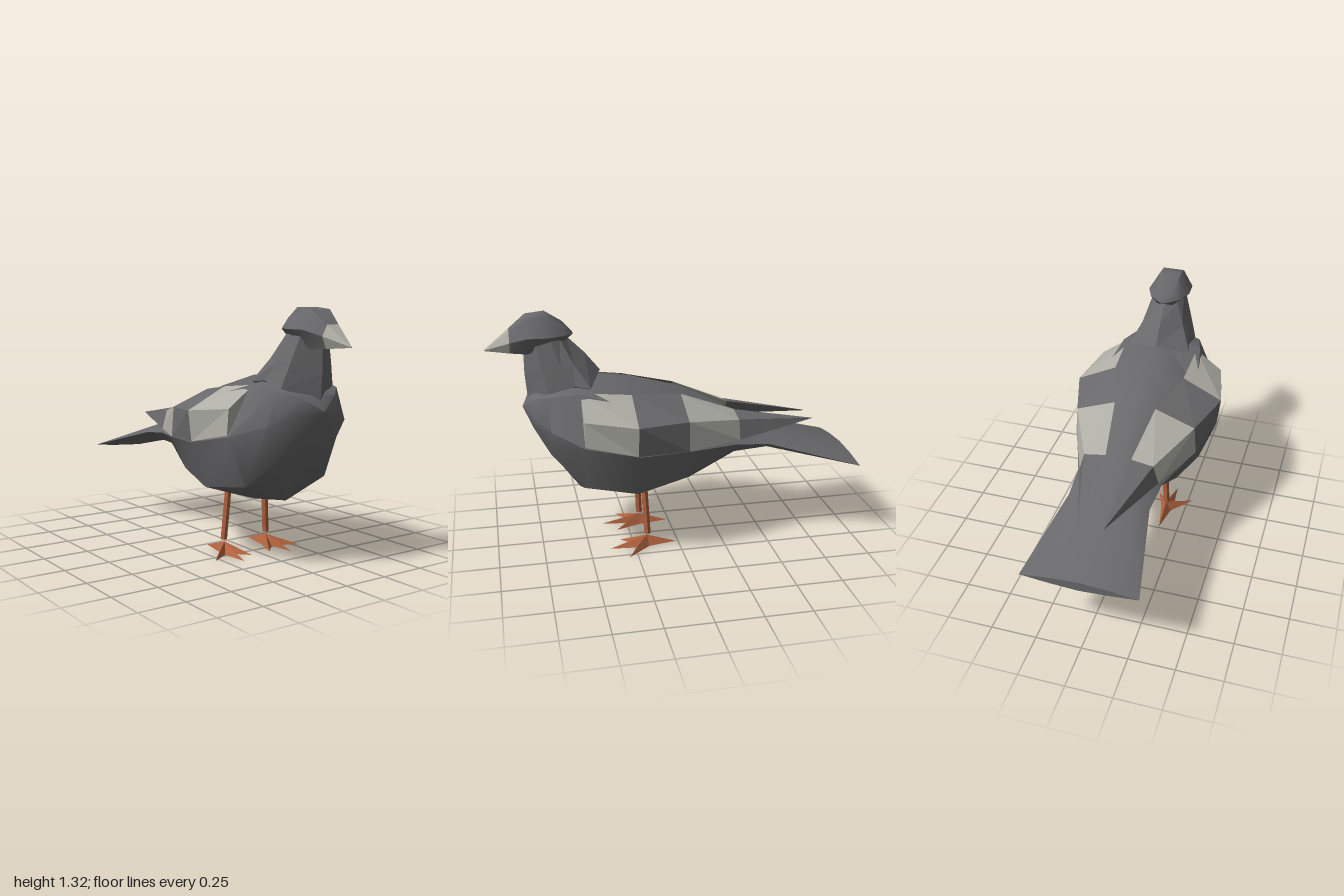
import * as THREE from 'three';
import { toCreasedNormals } from 'three/addons/utils/BufferGeometryUtils.js';

const mat = (name, color) => {
  const m = new THREE.MeshStandardMaterial({ color });
  m.name = name;
  return m;
};

// Triangle list to mesh; faces are turned outward using the signed volume.
function meshFrom(name, tris, material, crease) {
  const a = new THREE.Vector3(), b = new THREE.Vector3(), c = new THREE.Vector3();
  let volume = 0;
  const solid = tris.filter(([p, q, r]) => {
    a.fromArray(p); b.fromArray(q); c.fromArray(r);
    volume += a.dot(b.clone().cross(c));
    return b.clone().sub(a).cross(c.clone().sub(a)).length() > 1e-7;
  });
  const flat = solid.flatMap(([p, q, r]) => (volume < 0 ? [...p, ...r, ...q] : [...p, ...q, ...r]));
  let geo = new THREE.BufferGeometry();
  geo.setAttribute('position', new THREE.Float32BufferAttribute(flat, 3));
  geo.computeVertexNormals();
  if (crease) geo = toCreasedNormals(geo, crease);
  const mesh = new THREE.Mesh(geo, material);
  mesh.name = name;
  return mesh;
}

// Closed skin through rings with equal point counts, capped at both ends.
function loft(name, rings, material, crease = 0) {
  const tris = [], n = rings[0].length;
  for (let i = 0; i + 1 < rings.length; i++) {
    for (let j = 0; j < n; j++) {
      const k = (j + 1) % n, p = rings[i], q = rings[i + 1];
      tris.push([p[j], p[k], q[k]], [p[j], q[k], q[j]]);
    }
  }
  const first = rings[0], last = rings[rings.length - 1];
  for (let j = 1; j + 1 < n; j++) {
    tris.push([first[0], first[j + 1], first[j]], [last[0], last[j], last[j + 1]]);
  }
  return meshFrom(name, tris, material, crease);
}

// Half outline from bottom to top, completed by its mirror image.
const mirrorRing = (half) => [
  ...half,
  ...half.filter((p) => p[0] > 0).reverse().map(([x, y, z]) => [-x, y, z]),
];

export function createModel() {
  const model = new THREE.Group();
  model.name = 'bird';
  const grey = mat('slate grey plumage', 0x69696b);
  const pale = mat('pale grey', 0xaeaea6);
  const orange = mat('rust orange', 0xb0623f);

  // Body and tail: z, bottom y, lower edge, flank, shoulder, top y
  const body = [
    [0.82, 0.82, [0, 0.82], [0, 0.82], [0, 0.82], 0.82],
    [0.77, 0.70, [0.08, 0.72], [0.15, 0.80], [0.11, 0.89], 0.90],
    [0.69, 0.55, [0.15, 0.59], [0.25, 0.75], [0.19, 0.92], 0.96],
    [0.53, 0.33, [0.26, 0.43], [0.365, 0.69], [0.23, 0.94], 0.99],
    [0.25, 0.29, [0.31, 0.39], [0.40, 0.635], [0.28, 0.86], 0.96],
    [-0.04, 0.37, [0.25, 0.44], [0.335, 0.62], [0.22, 0.80], 0.88],
    [-0.31, 0.48, [0.17, 0.535], [0.235, 0.60], [0.15, 0.69], 0.74],
    [-0.50, 0.53, [0.16, 0.545], [0.22, 0.58], [0.13, 0.625], 0.64],
    [-1.00, 0.42, [0.16, 0.43], [0.31, 0.445], [0.16, 0.465], 0.475],
  ].map(([z, bottom, low, side, high, top]) => {
    const half = [low, side, high].map(([x, y]) => [Math.max(x, 1e-5), y, z]);
    return mirrorRing([[0, bottom, z], ...half, [0, top, z]]);
  });
  model.add(loft('bodyAndTail', body, grey, 0.75));

  // Neck: faceted collar narrowing up into the head
  model.add(loft('neck', [
    mirrorRing([[0, 0.87, 0.79], [0.165, 0.93, 0.69], [0.16, 0.96, 0.55], [0.18, 0.95, 0.47], [0, 1.0, 0.40]]),
    mirrorRing([[0, 1.0, 0.80], [0.13, 1.05, 0.715], [0.13, 1.06, 0.62], [0.12, 1.07, 0.55], [0, 1.10, 0.48]]),
    mirrorRing([[0, 1.14, 0.80], [0.09, 1.18, 0.74], [0.09, 1.19, 0.66], [0.07, 1.19, 0.61], [0, 1.19, 0.57]]),
  ], grey));

  // Head: six-sided sections from beak to nape
  const hexRing = ([z, bottom, bx, mid, mx, top, tx]) =>
    mirrorRing([[bx, bottom, z], [mx, mid, z], [tx, top, z]]);
  const face = [0.87, 1.125, 0.04, 1.185, 0.065, 1.24, 0.035];
  model.add(loft('head', [
    face,
    [0.78, 1.12, 0.06, 1.215, 0.115, 1.31, 0.06],
    [0.68, 1.15, 0.06, 1.215, 0.12, 1.32, 0.06],
    [0.59, 1.175, 0.045, 1.215, 0.085, 1.265, 0.045],
    [0.54, 1.205, 0.01, 1.21, 0.02, 1.215, 0.01],
  ].map(hexRing), grey, 0.8));
  model.add(loft('beak', [hexRing(face), hexRing([1, 1.135, 0.002, 1.137, 0.003, 1.14, 0.002])], pale));

  for (const s of [1, -1]) {
    const sideName = s > 0 ? 'left' : 'right';

    // Wing: inner edge, ridge and lower edge, banded in two colours
    const wing = [
      [0.53, [0.21, 0.94], [0.36, 0.83], [0.37, 0.70]],
      [0.26, [0.20, 0.91], [0.42, 0.80], [0.402, 0.64]],
      [-0.02, [0.115, 0.87], [0.335, 0.785], [0.347, 0.625]],
      [-0.33, [0.07, 0.745], [0.19, 0.725], [0.22, 0.62]],
      [-0.79, [0.068, 0.66], [0.07, 0.66], [0.07, 0.657]],
    ].map(([z, ...pts]) => pts.map(([x, y]) => [s * x, y, z]));
    ['FrontBand', 'MiddleBand', 'RearBand', 'Tip'].forEach((band, i) => {
      model.add(loft(`${sideName}Wing${band}`, [wing[i], wing[i + 1]], i % 2 ? grey : pale));
    });

    // Leg: slim tapered prism
    const legRing = (x, y, z, r) => Array.from({ length: 6 }, (_, i) => {
      const a = (i * Math.PI) / 3;
      return [s * (x + r * Math.cos(a)), y, z + r * Math.sin(a)];
    });
    model.add(loft(`${sideName}Leg`, [legRing(0.121, 0.36, 0.188, 0.019), legRing(0.142, 0.07, 0.175, 0.019)], orange));

    // Foot: pointed star of three front toes and one back toe
    const star = [
      [0.14, 0.01], [0.17, 0.17], [0.28, 0.30], [0.175, 0.235],
      [0.16, 0.39], [0.135, 0.24], [0.06, 0.32], [0.11, 0.18],
    ].map(([x, z]) => [s * x, 0, z]);
    const apex = [s * 0.14, 0.057, 0.18], sole = [s * 0.14, 0, 0.19];
    const tris = star.flatMap((p, i) => {
      const q = star[(i + 1) % star.length];
      return [[apex, p, q], [sole, q, p]];
    });
    model.add(meshFrom(`${sideName}Foot`, tris, orange));
  }
  return model;
}
